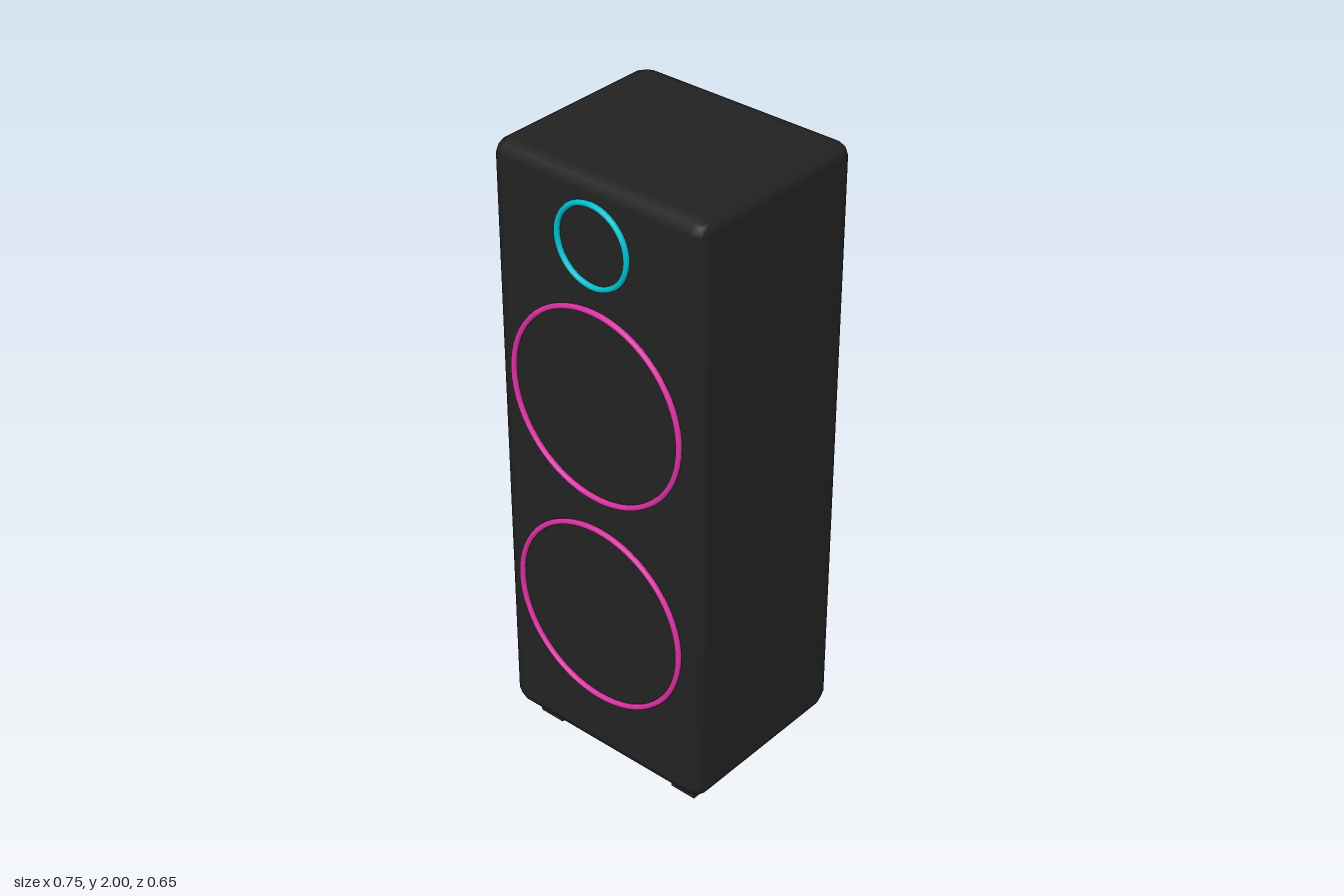
import * as THREE from 'three';
import { RoundedBoxGeometry } from 'three/addons/geometries/RoundedBoxGeometry.js';

export function createModel() {
  const material = (name, color) => {
    const m = new THREE.MeshStandardMaterial({ color });
    m.name = name;
    return m;
  };
  const black = material('cabinetBlack', 0x222222);
  const footGrey = material('footBlack', 0x262626);
  const magenta = material('magentaTrim', 0xd632a0);
  const cyan = material('cyanTrim', 0x00bccb);

  const model = new THREE.Group();
  model.name = 'towerSpeaker';
  const add = (name, geometry, mat, x, y, z) => {
    const mesh = new THREE.Mesh(geometry, mat);
    mesh.name = name;
    mesh.position.set(x, y, z);
    model.add(mesh);
  };

  // Cabinet with two-step rounded edges
  add('cabinet', new RoundedBoxGeometry(0.75, 1.95, 0.63, 1, 0.044), black, 0, 1.025, -0.01);

  // Driver rings, half proud of the front face
  const ring = (name, radius, y, mat) =>
    add(name, new THREE.TorusGeometry(radius, 0.009, 8, 64), mat, 0, y, 0.314);
  ring('tweeterRing', 0.124, 1.81, cyan);
  ring('upperWooferRing', 0.306, 1.3, magenta);
  ring('lowerWooferRing', 0.306, 0.577, magenta);

  // Four square feet, sunk slightly into the cabinet
  const footGeometry = new THREE.BoxGeometry(0.088, 0.06, 0.088);
  for (const [side, x] of [['left', 0.268], ['right', -0.268]]) {
    for (const [end, z] of [['Front', 0.204], ['Back', -0.216]]) {
      add(`${side}${end}Foot`, footGeometry, footGrey, x, 0.03, z);
    }
  }
  return model;
}
